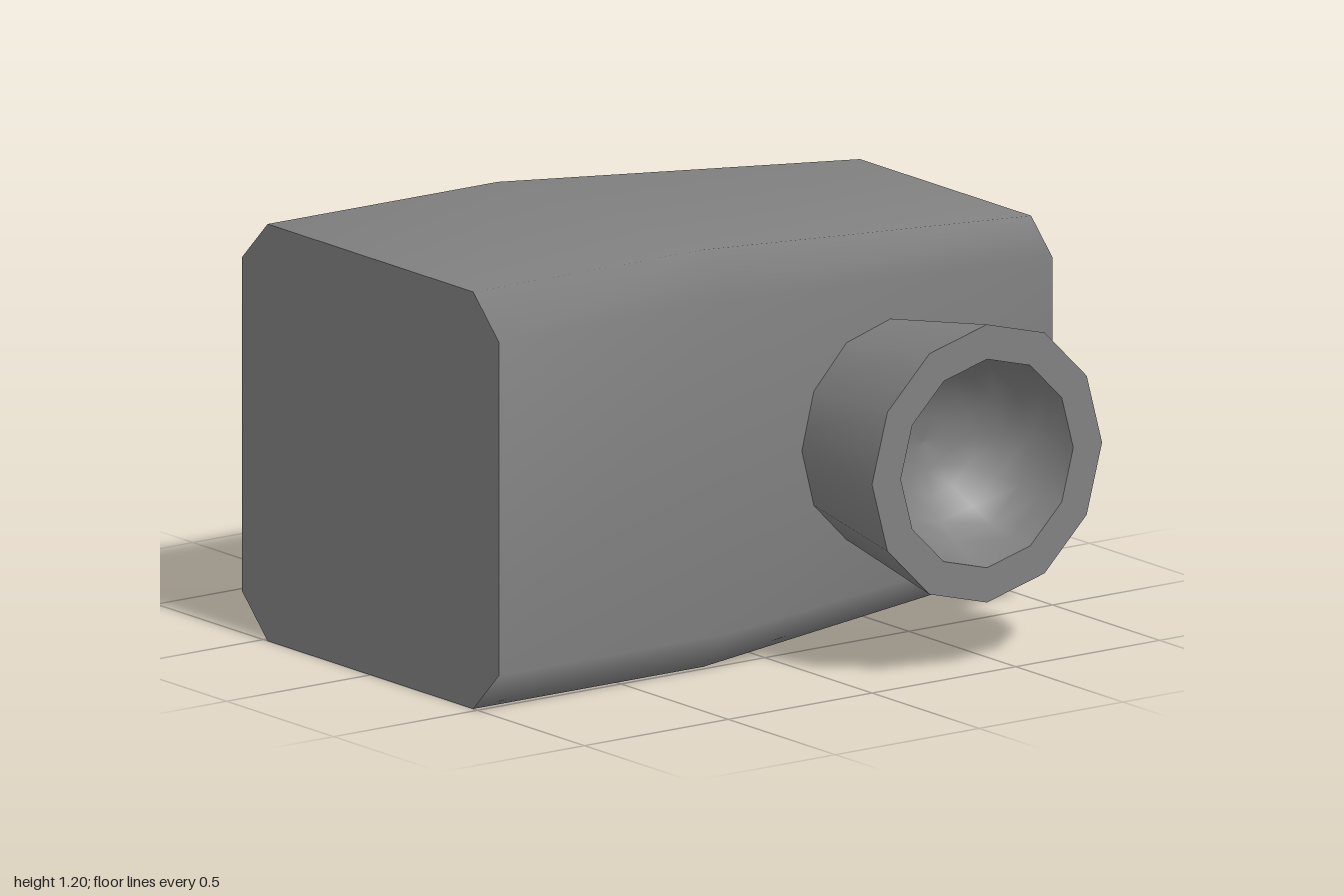
import * as THREE from 'three';

const grey = new THREE.MeshStandardMaterial({ color: 0x808080 });
grey.name = 'grey';

const CENTRE_Y = 0.6;

function addMesh(parent, name, geometry) {
  const mesh = new THREE.Mesh(geometry, grey);
  mesh.name = name;
  parent.add(mesh);
  return mesh;
}

// Chamfered square, counter-clockwise from the front
function octagon(half) {
  const c = half * 0.8;
  return [[half, -c], [half, c], [c, half], [-c, half], [-half, c], [-half, -c], [-c, -half], [c, -half]]
    .map(([x, y]) => new THREE.Vector2(x, y));
}

// Smooth skin lofted through octagons from front to back
function loftGeometry(sections) {
  const positions = [], indices = [], n = 8;
  for (const { z, half } of sections) {
    for (const p of octagon(half)) positions.push(p.x, p.y, z);
  }
  for (let s = 0; s < sections.length - 1; s++) {
    for (let i = 0; i < n; i++) {
      const a = s * n + i, b = s * n + (i + 1) % n;
      indices.push(a, a + n, b + n, a, b + n, b);
    }
  }
  const geometry = new THREE.BufferGeometry();
  geometry.setAttribute('position', new THREE.Float32BufferAttribute(positions, 3));
  geometry.setIndex(indices);
  geometry.computeVertexNormals();
  return geometry;
}

function createBody() {
  const body = new THREE.Group();
  body.name = 'body';
  body.position.y = CENTRE_Y;
  addMesh(body, 'bodySkin', loftGeometry([
    { z: 1, half: 0.6 }, { z: 0.2, half: 0.6 }, { z: -1, half: 0.5 },
  ]));
  const front = addMesh(body, 'frontCap', new THREE.ShapeGeometry(new THREE.Shape(octagon(0.6))));
  front.position.z = 1;
  const back = addMesh(body, 'backCap', new THREE.ShapeGeometry(new THREE.Shape(octagon(0.5))));
  back.position.z = -1;
  back.rotation.y = Math.PI;
  return body;
}

// Flared side nozzle with a rounded hollow; side is +1 for left, -1 for right
function createNozzle(side) {
  const nozzle = new THREE.Group();
  nozzle.name = side > 0 ? 'leftNozzle' : 'rightNozzle';
  const lathe = (points) =>
    new THREE.LatheGeometry(points.map(([r, y]) => new THREE.Vector2(r, y)), 12);

  addMesh(nozzle, 'nozzleWall', lathe([[0.3, 0.4], [0.4, 1]]));
  addMesh(nozzle, 'nozzleRim', lathe([[0.4, 1], [0.3, 1]]));
  const bowl = [];
  for (let i = 0; i <= 6; i++) {
    const t = (i / 6) * Math.PI / 2;
    bowl.push([i === 6 ? 0 : 0.3 * Math.cos(t), 1 - 0.3 * Math.sin(t)]);
  }
  addMesh(nozzle, 'nozzleHollow', lathe(bowl));

  nozzle.rotation.z = -side * Math.PI / 2;
  nozzle.position.set(0, CENTRE_Y, -0.4);
  return nozzle;
}

export function createModel() {
  const model = new THREE.Group();
  model.name = 'thrusterBlock';
  model.add(createBody(), createNozzle(1), createNozzle(-1));
  return model;
}
